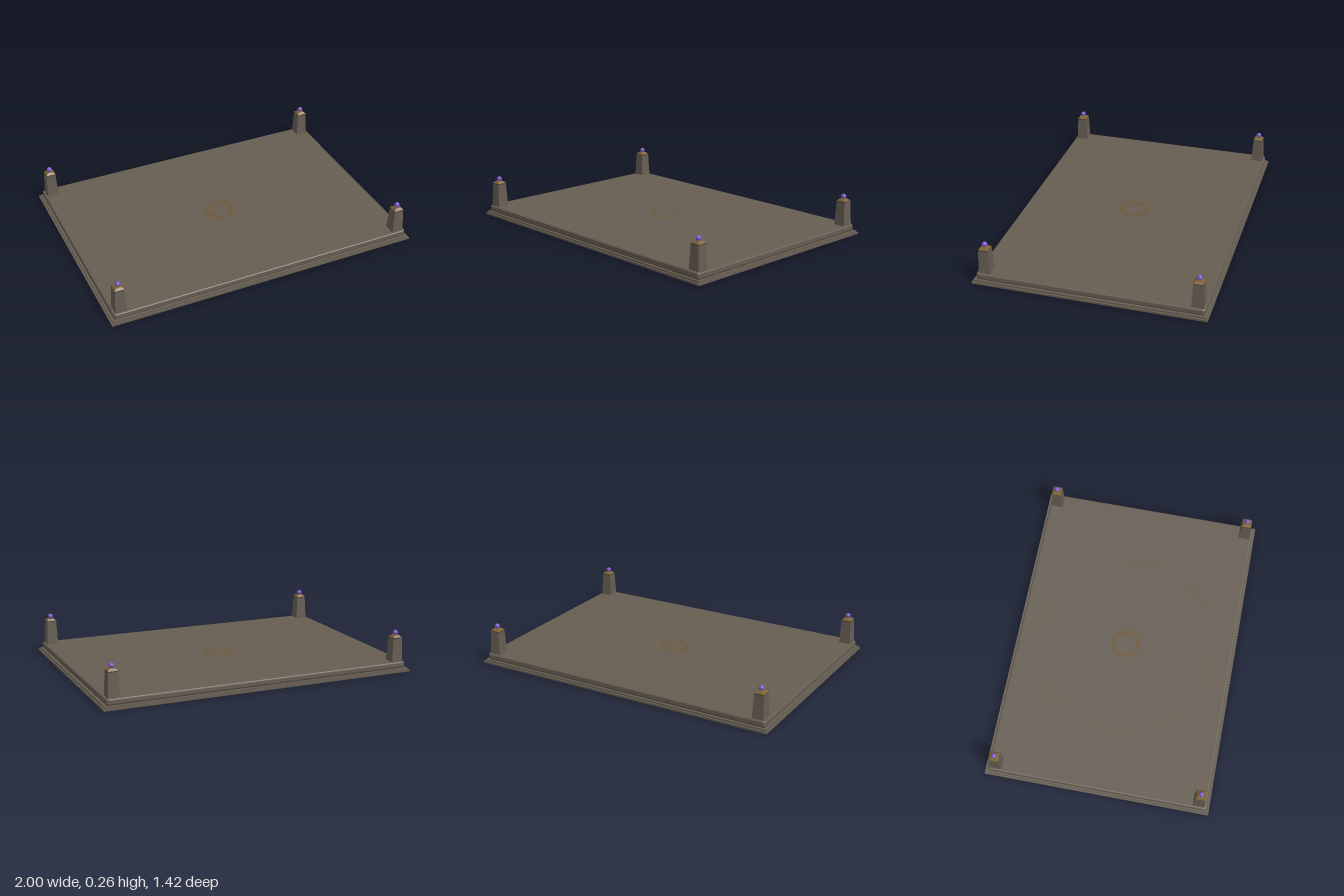
import * as THREE from 'three';

const material = (name, color) => {
  const m = new THREE.MeshStandardMaterial({ color });
  m.name = name;
  return m;
};

export function createModel() {
  const model = new THREE.Group();
  model.name = 'courtyardPlatform';
  const stone = material('stone', 0x665d52);
  const darkStone = material('dark stone', 0x4c453d);
  const bronze = material('bronze', 0x7d6232);
  const inlay = material('dull bronze inlay', 0x6c583a);
  const violet = material('violet gem', 0x7556c4);

  const add = (parent, name, geometry, mat, x = 0, y = 0, z = 0) => {
    const mesh = new THREE.Mesh(geometry, mat);
    mesh.name = name;
    mesh.position.set(x, y, z);
    parent.add(mesh);
    return mesh;
  };

  // Square tapered block, given full widths at bottom and top
  const taper = (bottom, top, height) => {
    const g = new THREE.CylinderGeometry(top / Math.SQRT2, bottom / Math.SQRT2, height, 4, 1).toNonIndexed();
    g.rotateY(Math.PI / 4);
    g.computeVertexNormals();
    return g;
  };

  // Rounded rectangular slab with softened top and bottom edges
  const slab = (w, d, h, bevel, r) => {
    const x = w / 2 - bevel, y = d / 2 - bevel;
    const s = new THREE.Shape();
    s.moveTo(-x + r, -y);
    s.lineTo(x - r, -y);
    s.quadraticCurveTo(x, -y, x, -y + r);
    s.lineTo(x, y - r);
    s.quadraticCurveTo(x, y, x - r, y);
    s.lineTo(-x + r, y);
    s.quadraticCurveTo(-x, y, -x, y - r);
    s.lineTo(-x, -y + r);
    s.quadraticCurveTo(-x, -y, -x + r, -y);
    const g = new THREE.ExtrudeGeometry(s, {
      depth: h - 2 * bevel, bevelEnabled: true, bevelSize: bevel,
      bevelThickness: bevel, bevelSegments: 3, curveSegments: 4,
    });
    g.rotateX(-Math.PI / 2);
    g.translate(0, bevel, 0);
    return g;
  };

  // Stepped base and floor
  add(model, 'footing', new THREE.BoxGeometry(2, 0.012, 1.424), stone, 0, 0.006, 0);
  add(model, 'step', new THREE.BoxGeometry(1.98, 0.01, 1.404), stone, 0, 0.017, 0);
  add(model, 'shadowGap', new THREE.BoxGeometry(1.945, 0.008, 1.37), darkStone, 0, 0.025, 0);
  add(model, 'floorSlab', slab(1.96, 1.385, 0.037, 0.009, 0.012), stone, 0, 0.025, 0);

  // Worn floor inlay: a central ring and broken arcs of a large circle
  const arc = (name, inner, outer, start, length) => {
    const g = new THREE.RingGeometry(inner, outer, 48, 1, start, length);
    g.rotateX(-Math.PI / 2);
    add(model, name, g, inlay, 0, 0.0624, 0);
  };
  arc('centralRing', 0.07, 0.094, 0, Math.PI * 2);
  for (const [from, to] of [[-12, 12], [54, 57], [72, 100], [124, 145], [168, 192], [212, 224], [250, 284], [304, 326]]) {
    const rad = THREE.MathUtils.degToRad;
    arc('outerArc', 0.587, 0.591, rad(from), rad(to - from));
  }

  // Corner pillars with caps and gem finials
  for (const x of [-0.928, 0.928]) for (const z of [-0.643, 0.643]) {
    const pillar = new THREE.Group();
    pillar.name = 'cornerPillar';
    pillar.position.set(x, 0.06, z);
    add(pillar, 'shaft', taper(0.074, 0.06, 0.15), stone, 0, 0.075, 0);
    add(pillar, 'capBand', new THREE.BoxGeometry(0.062, 0.006, 0.062), darkStone, 0, 0.153, 0);
    add(pillar, 'cap', taper(0.06, 0.036, 0.012), bronze, 0, 0.162, 0);
    add(pillar, 'collar', new THREE.CylinderGeometry(0.009, 0.013, 0.006, 12), bronze, 0, 0.169, 0);
    add(pillar, 'gem', new THREE.SphereGeometry(0.0165, 20, 14), violet, 0, 0.183, 0);
    model.add(pillar);
  }
  return model;
}
